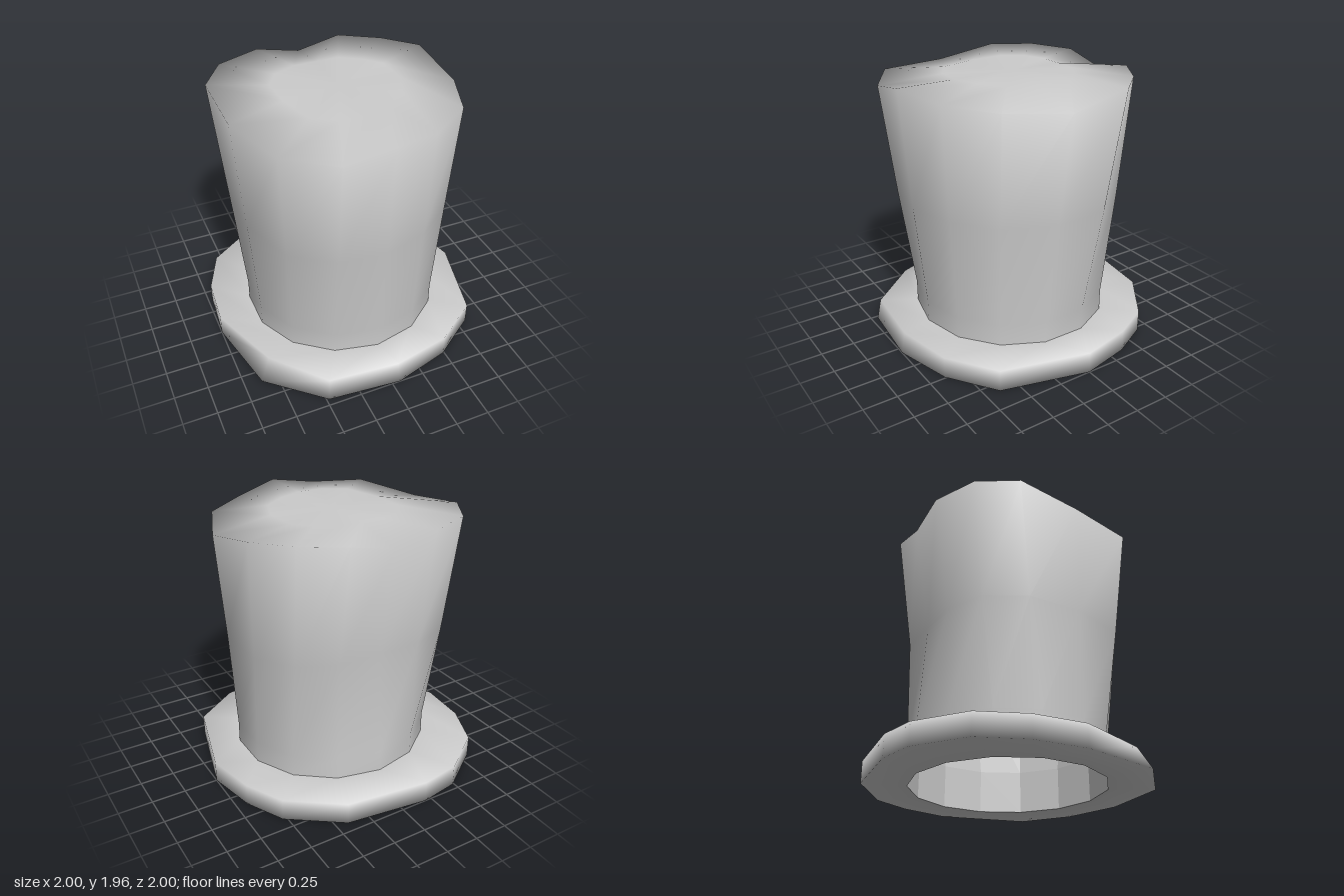
import * as THREE from 'three';

const SIDES = 14;
const smooth = new THREE.MeshStandardMaterial({ color: 0xcccccc, side: THREE.DoubleSide });
const faceted = new THREE.MeshStandardMaterial({ color: 0xcccccc, side: THREE.DoubleSide, flatShading: true });

// Outlines seen from above as [x, z], starting at the back and running past +x
const BRIM = [[-0.2, -1], [0.41, -0.92], [0.78, -0.65], [0.92, -0.37], [1, 0], [0.83, 0.64], [0.49, 0.88],
  [0.06, 1], [-0.48, 0.95], [-0.87, 0.6], [-1, 0], [-0.97, -0.38], [-0.83, -0.71], [-0.49, -0.95]];
const RIM = [[0, -0.78], [0.33, -0.78], [0.61, -0.6], [0.82, -0.37], [0.855, 0.1], [0.68, 0.52], [0.35, 0.76],
  [0, 0.89], [-0.35, 0.87], [-0.68, 0.66], [-0.82, 0.12], [-0.835, -0.36], [-0.66, -0.64], [-0.33, -0.78]];
// Uneven height of the crown's rim
const RIM_Y = [1.89, 1.96, 1.96, 1.96, 1.875, 1.9, 1.91, 1.96, 1.9, 1.92, 1.9, 1.96, 1.96, 1.96];

const ring = (fn) => Array.from({ length: SIDES }, (_, i) => fn(i));

// Round loop where crown and brim meet
const neck = (y, scale = 1) => ring((i) => {
  const a = (i / SIDES) * Math.PI * 2;
  return [0.735 * scale * Math.sin(a), y, 0.02 - 0.72 * scale * Math.cos(a)];
});

// Skin through closed loops, optionally closed with a centre point
function loft(name, material, loops, centre) {
  const points = loops.flat();
  const index = [];
  for (let r = 0; r < loops.length - 1; r++) {
    for (let i = 0; i < SIDES; i++) {
      const a = r * SIDES + i;
      const b = r * SIDES + ((i + 1) % SIDES);
      index.push(a, a + SIDES, b, b, a + SIDES, b + SIDES);
    }
  }
  if (centre) {
    const start = (loops.length - 1) * SIDES;
    for (let i = 0; i < SIDES; i++) index.push(start + i, points.length, start + ((i + 1) % SIDES));
    points.push(centre);
  }
  const geometry = new THREE.BufferGeometry();
  geometry.setAttribute('position', new THREE.Float32BufferAttribute(points.flat(), 3));
  geometry.setIndex(index);
  geometry.computeVertexNormals();
  const mesh = new THREE.Mesh(geometry, material);
  mesh.name = name;
  return mesh;
}

export function createModel() {
  const hat = new THREE.Group();
  hat.name = 'topHat';

  // Brim: a thick plate, its upper edge pulled in at the front right corner
  const pulledIn = { 7: 0.97, 8: 0.97, 9: 0.91 };
  const brimBottom = ring((i) => [BRIM[i][0], 0, BRIM[i][1]]);
  const brimTop = ring((i) => {
    const k = pulledIn[i] ?? 1;
    return [BRIM[i][0] * k, 0.16, BRIM[i][1] * k];
  });
  hat.add(loft('brim', smooth, [neck(0, 0.98), brimBottom, brimTop, neck(0.16)]));

  // Crown: flaring wall with a pinched back, rounding over into a flat top
  const base = neck(0.32);
  const waist = ring((i) => [
    THREE.MathUtils.lerp(base[i][0], RIM[i][0], 0.45),
    1.09,
    Math.max(-0.65, THREE.MathUtils.lerp(base[i][2], RIM[i][1], 0.53)),
  ]);
  const rim = ring((i) => [RIM[i][0], RIM_Y[i], RIM[i][1]]);
  const plateau = ring((i) => [RIM[i][0] * 0.52, 1.96, RIM[i][1] * 0.52]);
  hat.add(loft('crown', smooth, [neck(0.16), base, waist, rim, plateau], [0, 1.96, 0]));

  // Lining: faceted inside wall, open underneath
  const inside = (loop) => loop.map(([x, y, z]) => [x * 0.98, y, z * 0.98]);
  hat.add(loft('lining', faceted, [neck(0, 0.98), neck(0.32, 0.98), inside(waist), inside(rim)]));

  return hat;
}
